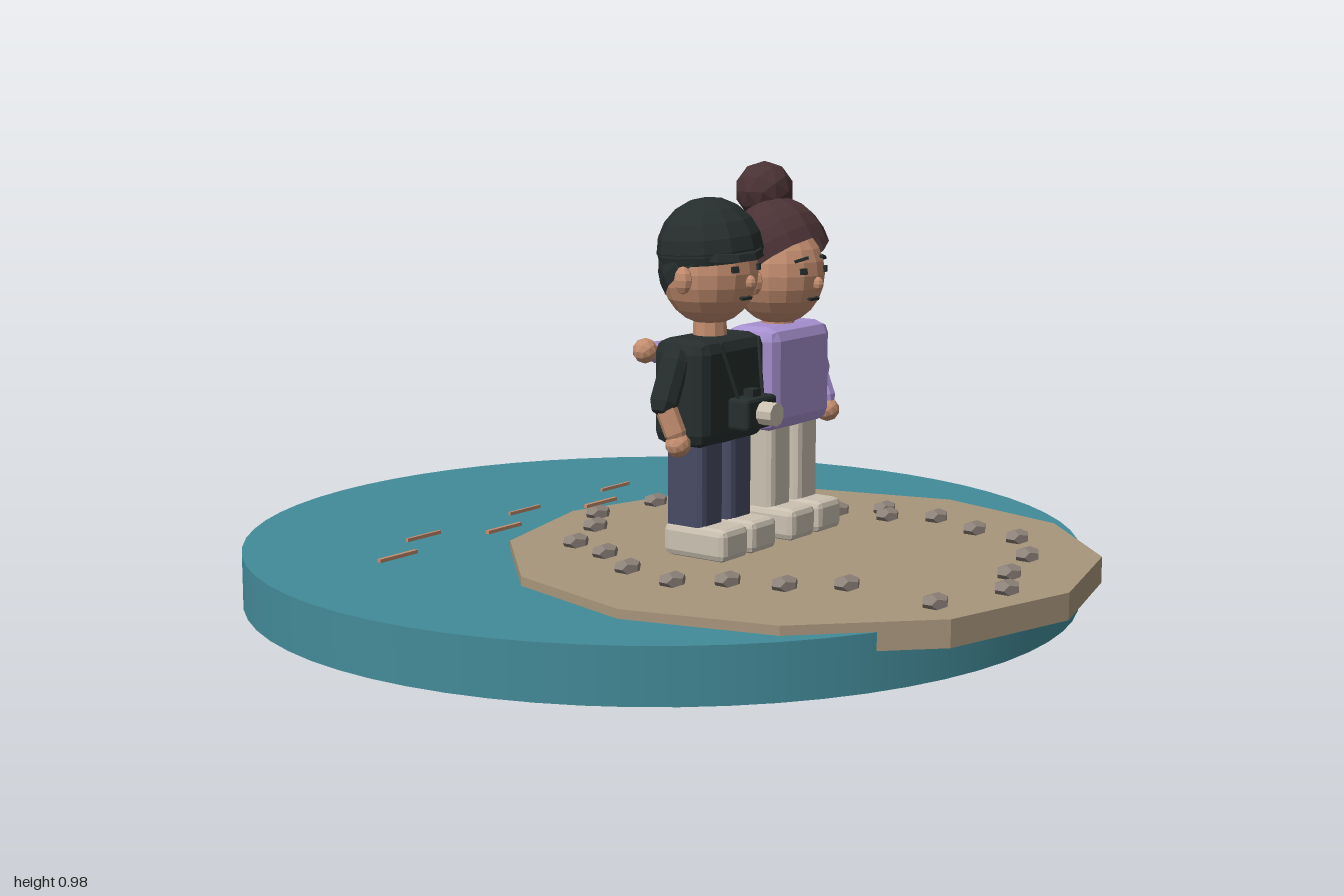
import * as THREE from 'three';
import { RoundedBoxGeometry } from 'three/addons/geometries/RoundedBoxGeometry.js';

const material = (name, color, extra = {}) =>
  new THREE.MeshStandardMaterial({ name, color, flatShading: true, ...extra });

const M = {
  water: material('water teal', 0x438b99, { flatShading: false }),
  sand: material('sand', 0xa8967c),
  pebble: material('pebble grey', 0x8c8078),
  dark: material('charcoal', 0x262e2d, { side: THREE.DoubleSide }),
  navy: material('trouser navy', 0x484b64),
  cream: material('cream', 0xcbc1b2),
  lavender: material('lavender', 0xa690d0),
  skin: material('skin', 0xc48e70),
  hair: material('hair brown', 0x4a3235, { side: THREE.DoubleSide }),
};

function add(parent, name, geometry, mat, x = 0, y = 0, z = 0) {
  const mesh = new THREE.Mesh(geometry, mat);
  mesh.name = name;
  mesh.position.set(x, y, z);
  parent.add(mesh);
  return mesh;
}

const block = (w, h, d, r) => new RoundedBoxGeometry(w, h, d, 1, r);

// Capsule running from point a to point b
function limb(parent, name, a, b, radius, mat) {
  const from = new THREE.Vector3(...a), to = new THREE.Vector3(...b);
  const dir = to.clone().sub(from);
  const mesh = add(parent, name, new THREE.CapsuleGeometry(radius, dir.length(), 2, 8), mat);
  mesh.position.copy(from).add(to).multiplyScalar(0.5);
  mesh.quaternion.setFromUnitVectors(new THREE.Vector3(0, 1, 0), dir.normalize());
}

function arm(parent, name, points, upperMat, lowerMat) {
  const [shoulder, elbow, wrist, hand] = points;
  limb(parent, name + 'UpperArm', shoulder, elbow, 0.031, upperMat);
  limb(parent, name + 'Forearm', elbow, wrist, 0.024, lowerMat);
  add(parent, name + 'Hand', new THREE.IcosahedronGeometry(0.028, 1), M.skin, ...hand);
}

// Rounded shell over the skull, tipped back so it sits high in front
function skullShell(parent, name, mat, y, r, scaleY, tilt, theta) {
  const g = new THREE.SphereGeometry(r, 14, 7, 0, Math.PI * 2, 0, theta);
  g.rotateX(-tilt).scale(1, scaleY, 1);
  return add(parent, name, g, mat, 0, y, 0);
}

function head(parent, y) {
  const rx = 0.108, ry = 0.116, rz = 0.106;
  add(parent, 'head', new THREE.SphereGeometry(1, 16, 12).scale(rx, ry, rz), M.skin, 0, y, 0);
  // Plates laid on the face surface
  const plate = (name, w, h, x, dy, roll = 0) => {
    const z = rz * Math.sqrt(1 - (x / rx) ** 2 - (dy / ry) ** 2);
    const p = add(parent, name, new THREE.BoxGeometry(w, h, 0.009), M.dark, x, y + dy, z);
    p.rotation.set(-dy * 6, x * 9, roll);
  };
  for (const s of [-1, 1]) {
    plate('eye', 0.016, 0.014, s * 0.043, 0.012);
    plate('eyebrow', 0.034, 0.007, s * 0.043, 0.038, -s * 0.12);
    add(parent, 'ear', new THREE.SphereGeometry(1, 8, 6).scale(0.016, 0.03, 0.022), M.skin, s * 0.111, y - 0.01, 0.01);
  }
  plate('mouth', 0.036, 0.006, 0, -0.052);
  add(parent, 'nose', new THREE.SphereGeometry(1, 8, 6).scale(0.012, 0.016, 0.014), M.skin, 0, y - 0.018, rz);
}

// Shared body: shoes, legs, torso and neck, centred on its own x and z
function body(parent, shirt, trousers) {
  for (const s of [-1, 1]) {
    add(parent, 'shoe', block(0.097, 0.072, 0.165, 0.015), M.cream, s * 0.054, 0.178, 0.03);
    add(parent, 'leg', block(0.082, 0.22, 0.1, 0.015), trousers, s * 0.054, 0.305, 0);
  }
  add(parent, 'torso', block(0.243, 0.234, 0.14, 0.03), shirt, 0, 0.503, 0);
  add(parent, 'neck', new THREE.CylinderGeometry(0.035, 0.038, 0.07, 10), M.skin, 0, 0.64, 0);
}

function createMan() {
  const man = new THREE.Group();
  man.name = 'man';
  man.position.set(-0.133, 0, 0.19);
  body(man, M.dark, M.navy);
  head(man, 0.758);
  skullShell(man, 'shortHair', M.dark, 0.765, 0.113, 1, 0.62, 1.62);

  // Flat cap with a slightly tilted visor
  const cap = new THREE.Group();
  cap.name = 'cap';
  cap.position.set(0, 0.802, 0);
  cap.rotation.set(-0.04, 0, 0.08);
  man.add(cap);
  add(cap, 'capDome', new THREE.SphereGeometry(0.117, 12, 5, 0, Math.PI * 2, 0, Math.PI / 2), M.dark);
  add(cap, 'capBand', new THREE.CylinderGeometry(0.117, 0.113, 0.025, 12), M.dark, 0, -0.005, 0);
  const visor = add(cap, 'visor', new THREE.CylinderGeometry(0.085, 0.09, 0.016, 12), M.dark, -0.01, 0.004, 0.04);
  visor.rotation.x = 0.14;

  arm(man, 'right', [[-0.125, 0.575, 0], [-0.165, 0.49, 0], [-0.158, 0.425, 0.025], [-0.155, 0.402, 0.03]], M.dark, M.skin);
  // Arm around the partner's back
  arm(man, 'left', [[0.11, 0.56, -0.03], [0.13, 0.48, -0.085], [0.3, 0.505, -0.1], [0.335, 0.512, -0.095]], M.dark, M.skin);

  // Camera hanging on the chest
  const camera = new THREE.Group();
  camera.name = 'camera';
  camera.position.set(0.012, 0.458, 0.105);
  man.add(camera);
  add(camera, 'cameraBody', block(0.112, 0.07, 0.055, 0.008), M.dark);
  add(camera, 'shutterButton', new THREE.BoxGeometry(0.03, 0.018, 0.025), M.dark, 0, 0.042, 0);
  add(camera, 'lens', new THREE.CylinderGeometry(0.026, 0.026, 0.04, 10), M.cream, 0, 0, 0.045).rotation.x = Math.PI / 2;
  for (const s of [-1, 1])
    limb(man, 'strap', [0.012 + s * 0.045, 0.49, 0.1], [s * 0.07, 0.612, 0.08], 0.004, M.dark);
  return man;
}

function createWoman() {
  const woman = new THREE.Group();
  woman.name = 'woman';
  woman.position.set(0.13, 0, 0.19);
  body(woman, M.lavender, M.cream);
  head(woman, 0.732);
  skullShell(woman, 'hair', M.hair, 0.765, 0.119, 1.16, 0.56, 1.72);
  add(woman, 'hairBun', new THREE.IcosahedronGeometry(0.067, 1), M.hair, 0.015, 0.915, -0.05);

  arm(woman, 'left', [[0.125, 0.575, 0], [0.163, 0.49, 0], [0.157, 0.43, 0.028], [0.155, 0.402, 0.035]], M.lavender, M.lavender);
  // Arm around the partner's back
  arm(woman, 'right', [[-0.11, 0.575, -0.03], [-0.15, 0.567, -0.095], [-0.33, 0.58, -0.1], [-0.37, 0.588, -0.095]], M.lavender, M.lavender);
  return woman;
}

export function createModel() {
  const model = new THREE.Group();
  model.name = 'couple on a beach';

  // Round water base; caps stay crisp because the cylinder's normals are split there
  add(model, 'waterBase', new THREE.CylinderGeometry(0.956, 0.956, 0.12, 64), M.water, 0, 0.06, -0.044);
  add(model, 'sandIsland', new THREE.CylinderGeometry(0.655, 0.655, 0.058, 12), M.sand, 0, 0.111, 0.345);

  // Ring of pebbles
  const pebbles = [
    [-0.016, -0.22], [0.175, -0.195], [0.345, -0.105], [-0.125, -0.14], [-0.28, -0.07], [-0.32, 0.045],
    [-0.4, 0.17], [-0.435, 0.315], [-0.365, 0.405], [-0.325, 0.52], [-0.245, 0.62], [-0.265, 0.84],
    [-0.08, 0.9], [0.04, 0.84], [0.205, 0.795], [0.345, 0.695], [0.365, 0.575], [0.425, 0.44],
    [0.37, 0.34], [0.43, 0.295], [0.35, 0.215], [0.285, 0.11],
  ];
  const pebbleGeometry = new THREE.DodecahedronGeometry(0.035).scale(1, 0.52, 0.82);
  for (const [x, z] of pebbles) add(model, 'pebble', pebbleGeometry, M.pebble, x, 0.151, z);

  // Ripples on the water
  for (const x of [-0.54, -0.185, 0.175, 0.53])
    add(model, 'ripple', new THREE.BoxGeometry(0.118, 0.008, 0.01), M.skin, x, 0.124, -0.366);
  for (const x of [-0.36, -0.005, 0.348])
    add(model, 'ripple', new THREE.BoxGeometry(0.11, 0.008, 0.007), M.skin, x, 0.124, -0.458);

  model.add(createMan(), createWoman());
  return model;
}
